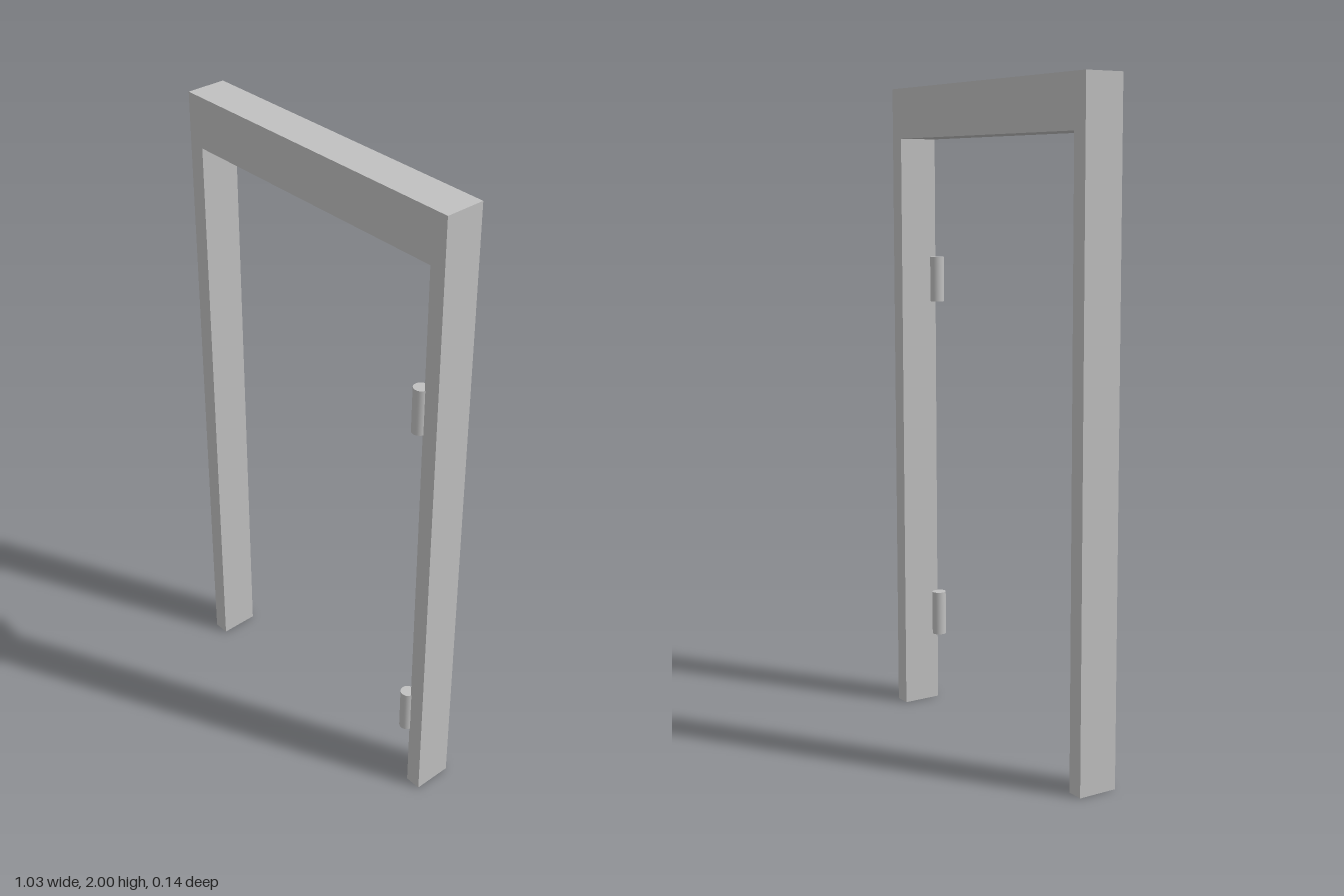
import * as THREE from 'three';

export function createModel() {
  const group = new THREE.Group();
  group.name = 'doorFrame';
  const grey = new THREE.MeshStandardMaterial({ color: 0xc0c0c0 });
  grey.name = 'grey';

  const outer = 0.513, inner = 0.462, top = 2, lintel = 1.845;
  const back = -0.07, front = 0.053;

  // Two jambs and the lintel as one upside-down U
  const outline = new THREE.Shape([
    [-outer, 0], [-inner, 0], [-inner, lintel], [inner, lintel],
    [inner, 0], [outer, 0], [outer, top], [-outer, top],
  ].map(([x, y]) => new THREE.Vector2(x, y)));
  const frameGeometry = new THREE.ExtrudeGeometry(outline, { depth: front - back, bevelEnabled: false });
  frameGeometry.translate(0, 0, back);
  const frame = new THREE.Mesh(frameGeometry, grey);
  frame.name = 'frame';
  group.add(frame);

  // Hinge barrels at the front inner edge of the left jamb
  const radius = 0.022, height = 0.142;
  const hingeGeometry = new THREE.CylinderGeometry(radius, radius, height, 24);
  [['lowerHinge', 0.296], ['upperHinge', 1.402]].forEach(([name, y]) => {
    const hinge = new THREE.Mesh(hingeGeometry, grey);
    hinge.name = name;
    hinge.position.set(0.443, y, 0.048);
    group.add(hinge);
  });

  return group;
}
